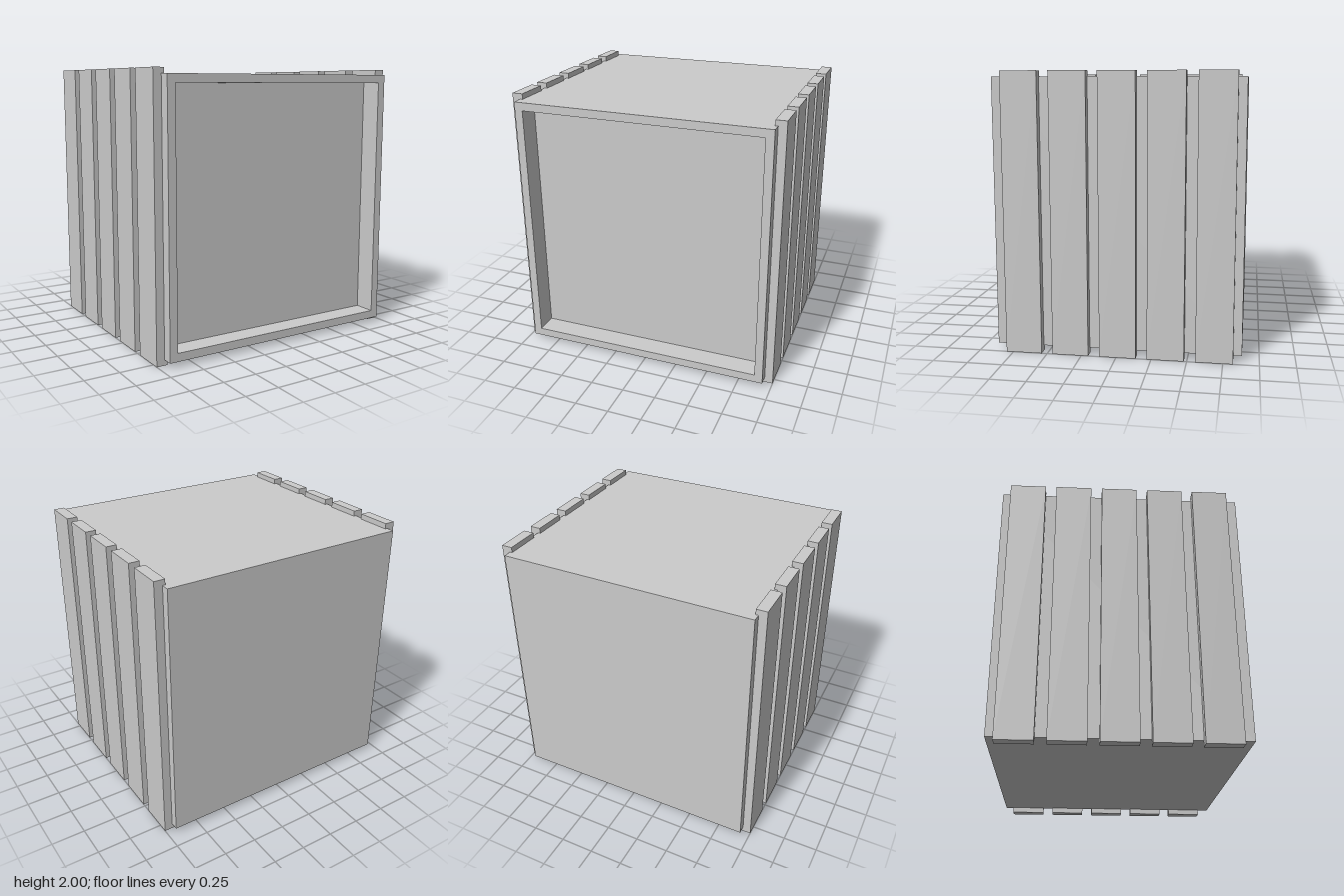
import * as THREE from 'three';

const material = new THREE.MeshStandardMaterial({ color: 0xcccccc });

// Rectangular cross-sections [halfWidth, halfHeight, z] joined in order and capped at both ends
function loftRectangles(sections) {
  const rings = sections.map(([w, h, z]) =>
    [[-w, -h, z], [w, -h, z], [w, h, z], [-w, h, z]]);
  const positions = [];
  const quad = (a, b, c, d) => positions.push(...a, ...b, ...c, ...a, ...c, ...d);

  for (let i = 0; i < rings.length - 1; i++) {
    for (let j = 0; j < 4; j++) {
      const k = (j + 1) % 4;
      quad(rings[i][j], rings[i][k], rings[i + 1][k], rings[i + 1][j]);
    }
  }
  quad(...[...rings[0]].reverse());
  quad(...rings[rings.length - 1]);

  const geometry = new THREE.BufferGeometry();
  geometry.setAttribute('position', new THREE.Float32BufferAttribute(positions, 3));
  geometry.computeVertexNormals();
  return geometry;
}

export function createModel() {
  const model = new THREE.Group();
  model.name = 'slattedCabinet';

  // Cabinet: back, outer walls, front rim, recess walls and recessed panel
  const cabinet = new THREE.Mesh(loftRectangles([
    [0.94, 0.96, -0.88],
    [0.94, 0.96, 0.88],
    [0.88, 0.90, 0.88],
    [0.88, 0.90, 0.72],
  ]), material);
  cabinet.name = 'cabinet';
  cabinet.position.y = 1;
  model.add(cabinet);

  // Five upright slats on each side, standing proud of the walls, top and bottom
  const slatGeometry = new THREE.BoxGeometry(0.08, 2, 0.26);
  for (const [side, name] of [[1, 'leftSlats'], [-1, 'rightSlats']]) {
    const slats = new THREE.Group();
    slats.name = name;
    for (let i = 0; i < 5; i++) {
      const slat = new THREE.Mesh(slatGeometry, material);
      slat.name = 'slat';
      slat.position.set(side * 0.96, 1, -0.69 + i * 0.34);
      slats.add(slat);
    }
    model.add(slats);
  }

  return model;
}
